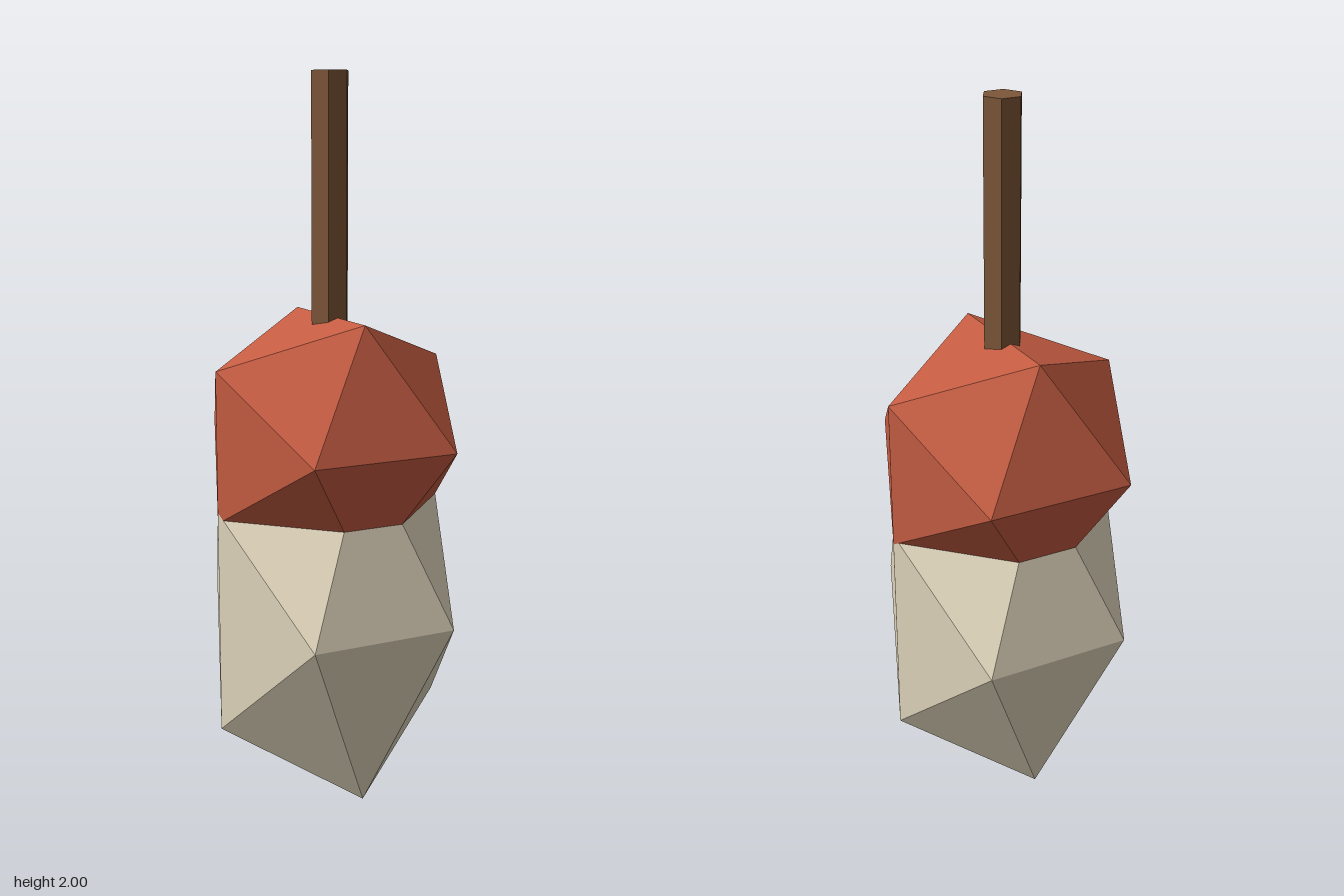
import * as THREE from 'three';

const flat = (color) => new THREE.MeshStandardMaterial({ color, flatShading: true });

export function createModel() {
  const group = new THREE.Group();

  const add = (name, geometry, color, y) => {
    const mesh = new THREE.Mesh(geometry, flat(color));
    mesh.name = name;
    mesh.position.y = y;
    group.add(mesh);
  };

  // faceted body, an icosahedron stretched upwards in height
  const facets = (stretch) =>
    new THREE.IcosahedronGeometry(0.4, 0).rotateY(Math.PI / 2).scale(1, stretch, 1);

  add('lowerBody', facets(1.5), 0xe0d5bc, 0.51);
  add('cap', facets(1), 0xc45c42, 1.005);

  // six-sided stem, sunk a little into the cap
  const top = 2, bottom = 1.3;
  const stem = new THREE.CylinderGeometry(0.055, 0.055, top - bottom, 6).rotateY(Math.PI / 2);
  add('stem', stem, 0x7d5638, (top + bottom) / 2);

  return group;
}
